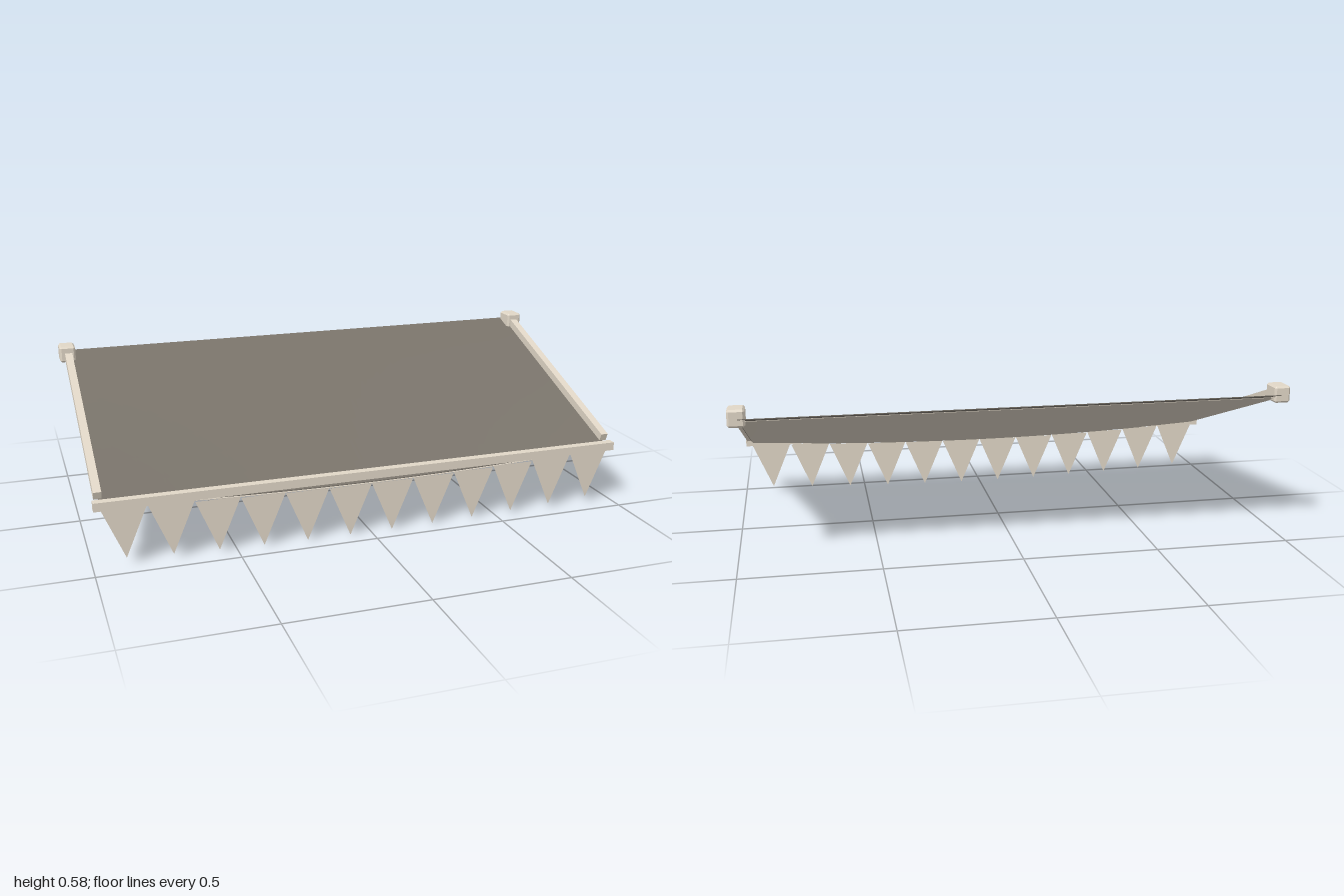
import * as THREE from 'three';
import { ConvexGeometry } from 'three/addons/geometries/ConvexGeometry.js';

export function createModel() {
  const group = new THREE.Group();
  const material = (name, color) => {
    const m = new THREE.MeshStandardMaterial({ color });
    m.name = name;
    return m;
  };
  const wood = material('paleWood', 0xe0d6c6);
  const cloth = material('greyCloth', 0x79736a);
  const lining = material('paleLining', 0xd0c7b9);
  const pennantCloth = material('pennantCloth', 0xe0d6c6);
  pennantCloth.side = THREE.DoubleSide;

  const add = (name, geometry, mat, x = 0, y = 0, z = 0) => {
    const mesh = new THREE.Mesh(geometry, mat);
    mesh.name = name;
    mesh.position.set(x, y, z);
    group.add(mesh);
    return mesh;
  };

  // Box with all edges chamfered
  const chamferBox = (w, h, d, c) => {
    const pts = [];
    for (const sx of [-1, 1]) for (const sy of [-1, 1]) for (const sz of [-1, 1]) {
      const x = w / 2, y = h / 2, z = d / 2;
      pts.push(
        new THREE.Vector3(sx * x, sy * (y - c), sz * (z - c)),
        new THREE.Vector3(sx * (x - c), sy * y, sz * (z - c)),
        new THREE.Vector3(sx * (x - c), sy * (y - c), sz * z));
    }
    return new ConvexGeometry(pts);
  };

  // Sloping cloth that sags towards the middle of its front edge
  const backZ = -0.452, frontZ = 0.436;
  const clothY = (x, z) => {
    const t = (z - backZ) / (frontZ - backZ);
    return 0.547 - 0.319 * t - 0.032 * t * (1 - (x / 0.965) ** 2);
  };
  const saggingSheet = (width, back, thickness, drop) => {
    const sheet = new THREE.BoxGeometry(width, thickness, frontZ - back, 24, 1, 8);
    sheet.translate(0, -drop, (frontZ + back) / 2);
    const p = sheet.attributes.position;
    for (let i = 0; i < p.count; i++) {
      p.setY(i, p.getY(i) + clothY(p.getX(i), p.getZ(i)));
    }
    sheet.computeVertexNormals();
    return sheet;
  };
  add('canopy', saggingSheet(1.93, backZ, 0.003, 0), cloth);
  add('canopyLining', saggingSheet(1.92, backZ + 0.006, 0.002, 0.006), lining);

  // Front bar
  add('frontBar', new THREE.BoxGeometry(1.975, 0.031, 0.031), wood, 0, 0.2275, 0.436);

  // Side rails and wall brackets
  for (const side of [-1, 1]) {
    const rail = add('sideRail', new THREE.BoxGeometry(0.028, 0.03, 0.872), wood, side * 0.967, 0.4025, 0);
    rail.rotation.x = Math.atan(0.366);
    add('wallBracket', chamferBox(0.06, 0.062, 0.08, 0.007), wood, side * 0.97, 0.549, -0.411);
  }

  // Row of triangular pennants following the sagging hem
  const triangle = new THREE.Shape([
    new THREE.Vector2(-0.08, 0),
    new THREE.Vector2(0, -0.189),
    new THREE.Vector2(0.08, 0),
  ]);
  const pennant = new THREE.ShapeGeometry(triangle);
  for (let i = 0; i < 12; i++) {
    const x = (i - 5.5) * 0.161;
    add('pennant', pennant, pennantCloth, x, clothY(x, frontZ) - 0.007, frontZ + 0.001);
  }
  return group;
}
